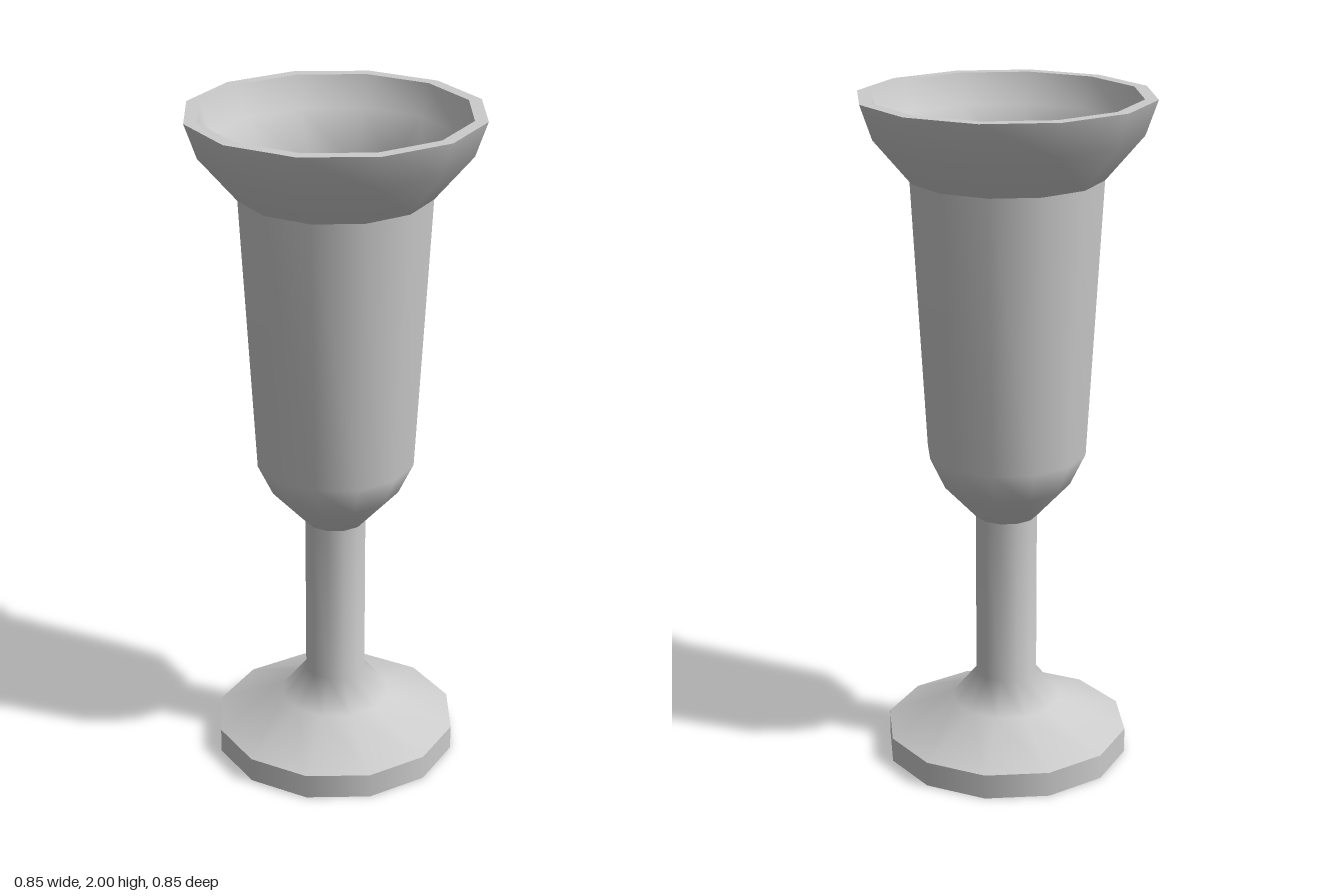
import * as THREE from 'three';

const SIDES = 12;

// Each part is a smooth run of the profile [radius, height]; hard edges fall between parts.
// The profile runs up the outside, over the rim and down the inside.
const PARTS = {
  footUnderside: [[0, 0], [0.365, 0]],
  footEdge: [[0.365, 0], [0.365, 0.075]],
  footTopAndStem: [[0.365, 0.075], [0.165, 0.16], [0.092, 0.25], [0.092, 0.755]],
  bowl: [[0.092, 0.755], [0.19, 0.86], [0.235, 0.955], [0.28, 1.77]],
  flaredLip: [[0.28, 1.77], [0.39, 1.9], [0.425, 2]],
  rim: [[0.425, 2], [0.387, 2]],
  bowlInside: [[0.387, 2], [0.355, 1.91], [0.246, 1.78], [0.2, 0.97], [0.16, 0.885], [0.08, 0.8], [0, 0.8]],
};

export function createModel() {
  const goblet = new THREE.Group();
  goblet.name = 'goblet';
  const material = new THREE.MeshStandardMaterial({ color: 0xcccccc, side: THREE.DoubleSide });

  for (const [name, profile] of Object.entries(PARTS)) {
    const points = profile.map(([r, y]) => new THREE.Vector2(r, y));
    const mesh = new THREE.Mesh(new THREE.LatheGeometry(points, SIDES), material);
    mesh.name = name;
    goblet.add(mesh);
  }
  return goblet;
}
